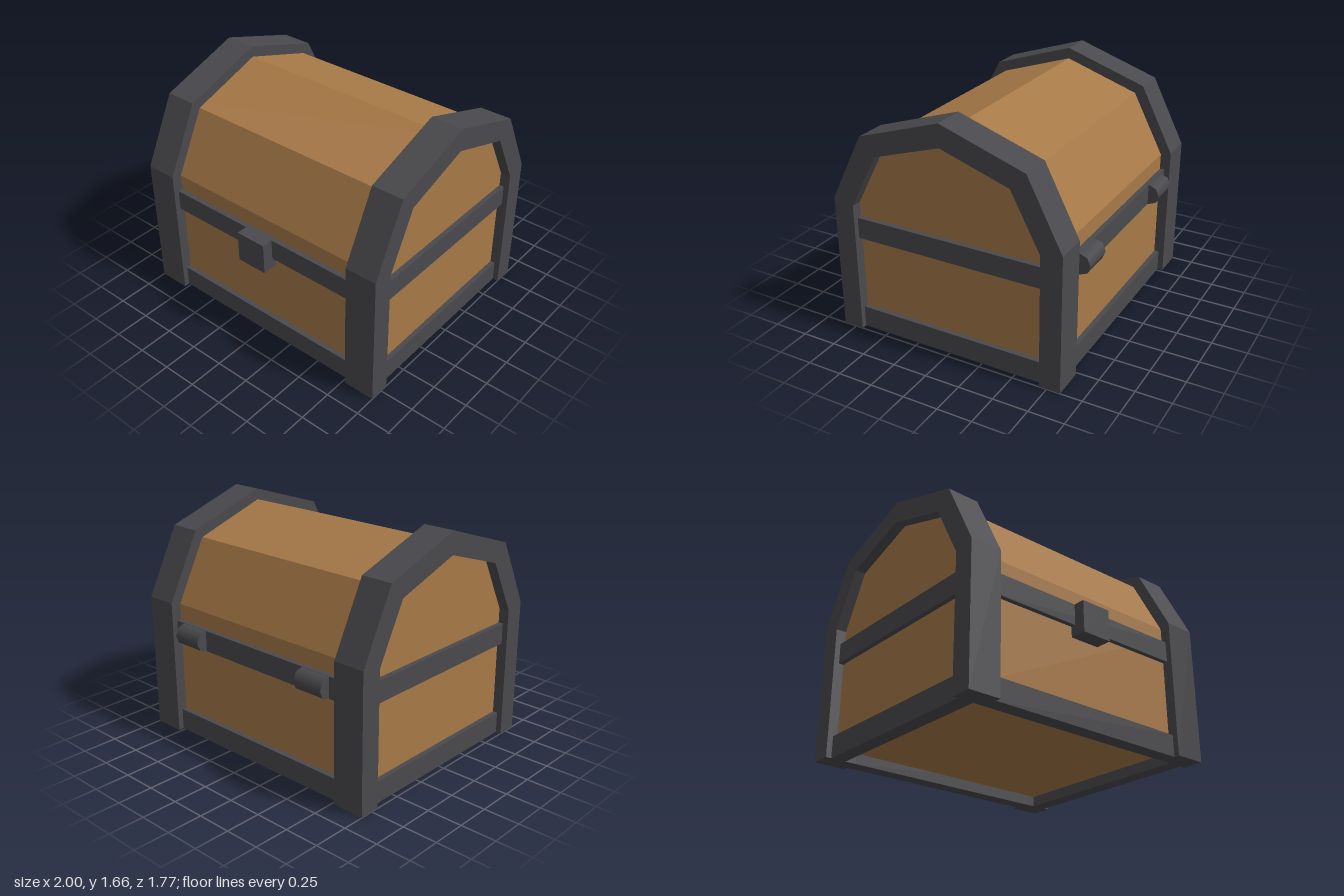
import * as THREE from 'three';

const wood = new THREE.MeshStandardMaterial({ color: 0xa87a48, flatShading: true });
const iron = new THREE.MeshStandardMaterial({ color: 0x4a494d, flatShading: true });
const ironSmooth = new THREE.MeshStandardMaterial({ color: 0x4a494d });

// Mirrors a half outline [z, y], listed from the bottom edge up to the ridge
function mirrored(half) {
  return [...half, ...half.slice(0, -1).reverse().map(([z, y]) => [-z, y])];
}

// Extrudes a z-y outline along x, from x0 to x1
function alongX(points, x0, x1) {
  const shape = new THREE.Shape(points.map(([z, y]) => new THREE.Vector2(z, y)));
  const geo = new THREE.ExtrudeGeometry(shape, { depth: x1 - x0, bevelEnabled: false });
  return geo.rotateY(Math.PI / 2).translate(x0, 0, 0);
}

export function createModel() {
  const root = new THREE.Group();
  root.name = 'treasureChest';

  function add(name, geo, material) {
    const mesh = new THREE.Mesh(geo, material);
    mesh.name = name;
    root.add(mesh);
  }

  // Box given by its limits on each axis
  function box(name, [x0, x1], [y0, y1], [z0, z1]) {
    const geo = new THREE.BoxGeometry(x1 - x0, y1 - y0, z1 - z0);
    add(name, geo.translate((x0 + x1) / 2, (y0 + y1) / 2, (z0 + z1) / 2), iron);
  }

  // Wooden body and faceted lid, with the floor raised above the ground
  const body = mirrored([[0.77, 0.075], [0.77, 0.96], [0.54, 1.4], [0, 1.58]]);
  add('woodenBody', alongX(body, -0.925, 0.925), wood);

  // Iron arches around both ends
  const outer = mirrored([[0.845, 0], [0.845, 0.98], [0.6, 1.46], [0, 1.66]]);
  const inner = mirrored([[0.695, 0], [0.695, 0.95], [0.49, 1.34], [0, 1.5]]);
  const arch = [...outer, ...inner.reverse()];
  add('leftArch', alongX(arch, 0.77, 1), iron);
  add('rightArch', alongX(arch, -1, -0.77), iron);

  // Iron bands around the base and along the lid seam
  for (const [name, y] of [['base', [0, 0.155]], ['seam', [0.695, 0.845]]]) {
    box(name + 'BandFront', [-0.77, 0.77], y, [0.695, 0.805]);
    box(name + 'BandBack', [-0.77, 0.77], y, [-0.805, -0.695]);
    box(name + 'BandLeft', [0.85, 0.96], y, [-0.695, 0.695]);
    box(name + 'BandRight', [-0.96, -0.85], y, [-0.695, 0.695]);
  }

  // Latch on the front
  box('latch', [-0.115, 0.115], [0.62, 0.845], [0.77, 0.885]);

  // Octagonal hinge barrels on the back
  for (const [name, side] of [['leftHinge', 1], ['rightHinge', -1]]) {
    const barrel = new THREE.CylinderGeometry(0.075, 0.075, 0.23, 8).rotateZ(Math.PI / 2);
    add(name, barrel.translate(side * 0.575, 0.77, -0.81), ironSmooth);
  }

  return root;
}
